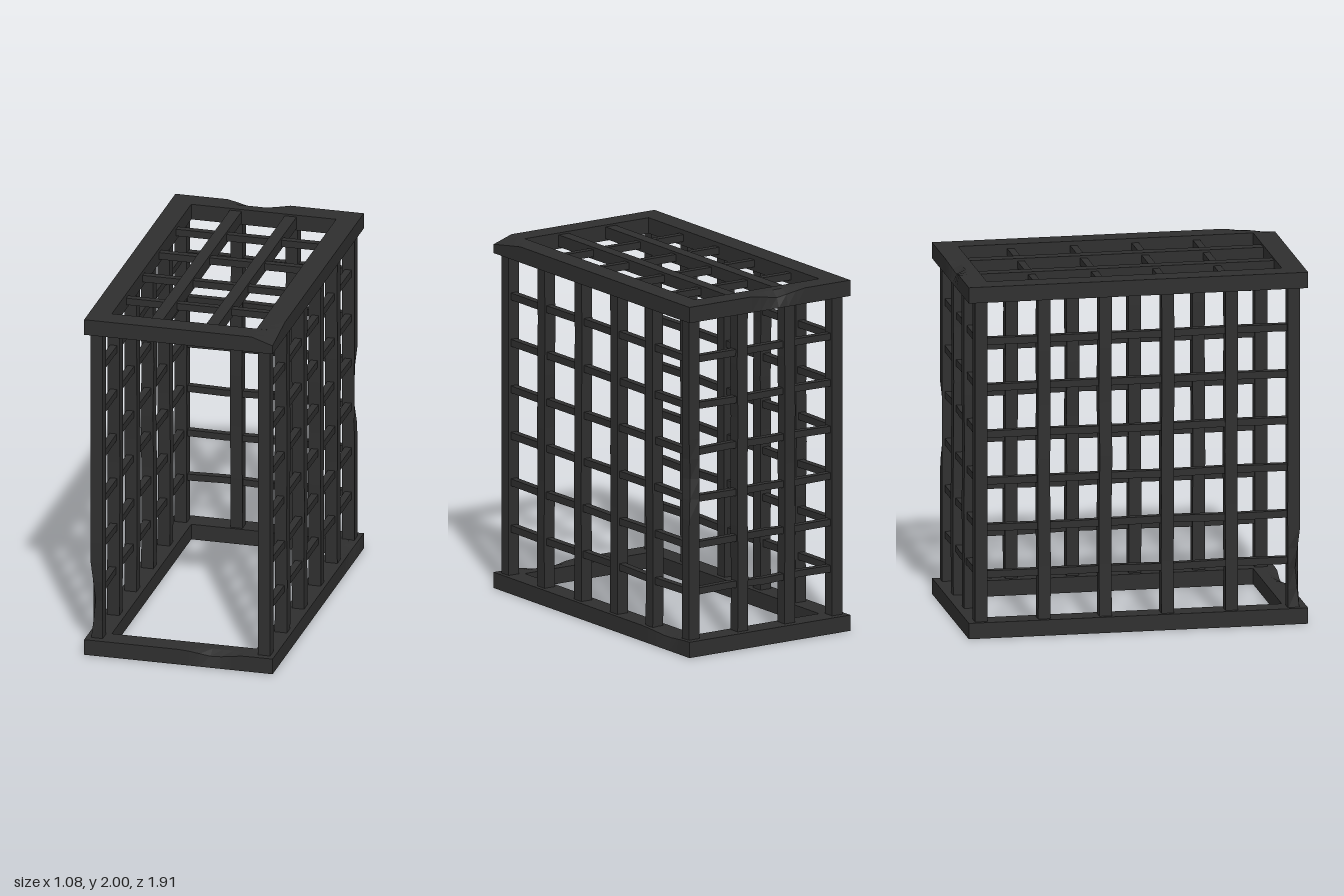
import * as THREE from 'three';

const iron = new THREE.MeshStandardMaterial({ color: 0x2e2e2e, flatShading: true });
iron.name = 'dark iron';

// Battered spots: centre, reach along each axis, and push at the centre
const dents = [
  { at: [0.54, 2, 0.955], reach: [0.12, 0.05, 0.26], push: [0, -0.04, 0] },
  { at: [-0.06, 2, -0.955], reach: [0.17, 0.05, 0.05], push: [0, -0.035, 0.02] },
  { at: [0.2, 0.09, 0.955], reach: [0.17, 0.05, 0.05], push: [0, -0.03, -0.015] },
  { at: [0.54, 0.09, -0.72], reach: [0.05, 0.05, 0.2], push: [-0.015, -0.02, 0] },
  { at: [0.515, 0.98, -0.915], reach: [0.05, 0.24, 0.05], push: [-0.025, 0, 0.025] },
  { at: [-0.515, 0.3, 0.915], reach: [0.05, 0.25, 0.05], push: [0.025, 0, -0.025] },
];

let seed = 7;
function wobble(amount) {
  seed = (seed * 16807) % 2147483647;
  return (seed / 2147483647 - 0.5) * 2 * amount;
}

// A box bar cut into sections; sections drift slightly, then dents are pressed in
function bar(parent, name, size, pos, sections, drift = 0) {
  const axis = size.indexOf(Math.max(...size));
  const segs = [0, 1, 2].map((i) => (i === axis ? sections : 1));
  if (!drift) segs[axis === 2 ? 0 : 2] = 2;
  const geo = new THREE.BoxGeometry(...size, ...segs).translate(...pos);
  const p = geo.attributes.position;
  const shifts = Array.from({ length: sections + 1 }, (_, i) =>
    [0, 1, 2].map((a) => (a === axis || i === 0 || i === sections ? 0 : wobble(drift))));
  for (let i = 0; i < p.count; i++) {
    const v = [p.getX(i), p.getY(i), p.getZ(i)];
    const s = Math.round(((v[axis] - pos[axis]) / size[axis] + 0.5) * sections);
    const out = v.map((c, a) => c + shifts[s][a]);
    for (const d of dents) {
      const w = 1 - v.reduce((sum, c, a) => sum + Math.abs(c - d.at[a]) / d.reach[a], 0);
      if (w > 0) d.push.forEach((c, a) => { out[a] += c * w; });
    }
    p.setXYZ(i, ...out);
  }
  geo.computeVertexNormals();
  const mesh = new THREE.Mesh(geo, iron);
  mesh.name = name;
  parent.add(mesh);
}

function section(parent, name) {
  const g = new THREE.Group();
  g.name = name;
  parent.add(g);
  return g;
}

export function createModel() {
  const cage = new THREE.Group();
  cage.name = 'cage';
  const postZ = [0.88, 0.53, 0.17, -0.18, -0.525, -0.88];
  const rungY = [0.355, 0.62, 0.885, 1.15, 1.415, 1.68];

  // Heavy rectangular frames at floor and roof
  for (const [name, y] of [['floorFrame', 0.045], ['roofFrame', 1.955]]) {
    const frame = section(cage, name);
    for (const s of [-1, 1]) {
      bar(frame, 'endRail', [1.08, 0.09, 0.125], [0, y, s * 0.8925], 18);
      bar(frame, 'sideRail', [0.125, 0.09, 1.66], [s * 0.4775, y, 0], 24);
    }
  }

  // Long barred sides
  for (const s of [-1, 1]) {
    const side = section(cage, s > 0 ? 'leftSide' : 'rightSide');
    for (const z of postZ) {
      const corner = Math.abs(z) > 0.8;
      bar(side, corner ? 'cornerPost' : 'upright', [0.07, 1.84, 0.07],
        [s * 0.48, 1, z], corner ? 16 : 6, corner ? 0.0001 : 0.003);
    }
    for (const y of rungY) {
      bar(side, 'rung', [0.04, 0.04, 1.72], [s * 0.48, y, 0], 5, 0.004);
    }
  }

  // Barred back; the front stays open
  const back = section(cage, 'back');
  for (const x of [-0.16, 0.155]) {
    bar(back, 'upright', [0.068, 1.84, 0.07], [x, 1, -0.88], 6, 0.003);
  }
  for (const y of rungY) {
    bar(back, 'rung', [0.92, 0.038, 0.04], [0, y, -0.88], 4, 0.005);
  }

  // Roof grid
  const roof = section(cage, 'roofGrid');
  for (const x of [-0.16, 0.155]) {
    bar(roof, 'longBar', [0.068, 0.068, 1.68], [x, 1.955, 0], 5, 0.0005);
  }
  for (const z of [0.51, 0.165, -0.18, -0.535]) {
    bar(roof, 'crossBar', [0.85, 0.04, 0.04], [0, 1.955, z], 4, 0.0005);
  }
  return cage;
}
